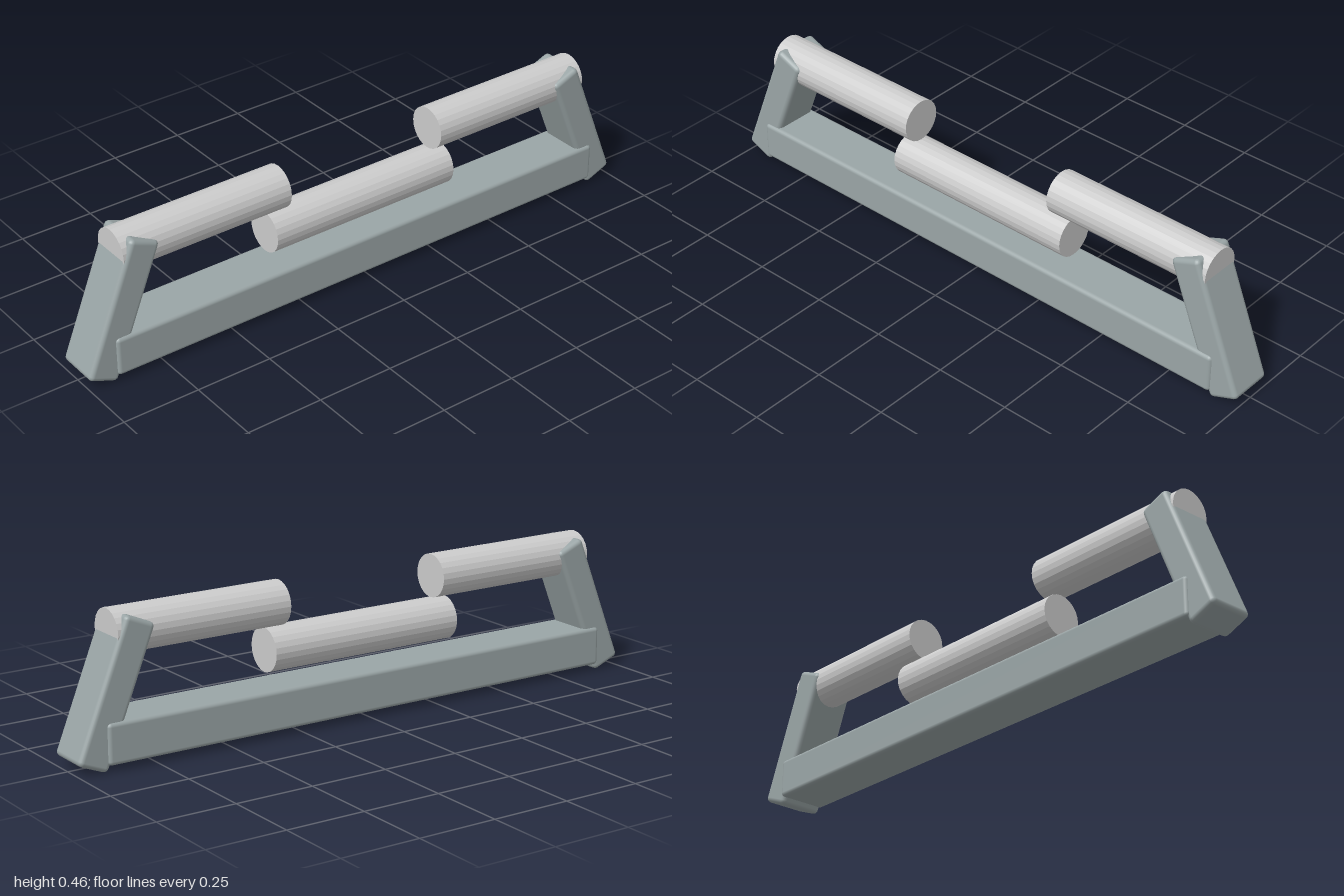
import * as THREE from 'three';
import { RoundedBoxGeometry } from 'three/addons/geometries/RoundedBoxGeometry.js';

const frameMaterial = new THREE.MeshStandardMaterial({ color: 0x9aa5a6 });
const rollerMaterial = new THREE.MeshStandardMaterial({ color: 0xcccccc, flatShading: true });

export function createModel() {
  const model = new THREE.Group();
  model.name = 'steppedBarFrame';

  const add = (name, geometry, material, y, z) => {
    const mesh = new THREE.Mesh(geometry, material);
    mesh.name = name;
    mesh.position.set(0, y, z);
    model.add(mesh);
    return mesh;
  };

  // Round bar lying along z
  const bar = (name, length, y, z) =>
    add(name, new THREE.CylinderGeometry(0.069, 0.069, length, 24).rotateX(Math.PI / 2), rollerMaterial, y, z);

  // Long base beam with softened edges
  add('baseBeam', new RoundedBoxGeometry(0.166, 0.127, 1.82, 2, 0.013), frameMaterial, 0.084, 0);

  // Low middle bar
  bar('middleBar', 0.67, 0.254, 0);

  // Leaning end posts, each carrying a raised bar
  for (const side of [1, -1]) {
    const end = side > 0 ? 'front' : 'back';
    const post = add(end + 'Post', new RoundedBoxGeometry(0.15, 0.45, 0.102, 2, 0.015), frameMaterial, 0.225, side * 0.872);
    post.rotation.x = -side * 0.383;
    bar(end + 'UpperBar', 0.58, 0.393, side * 0.572);
  }

  return model;
}
